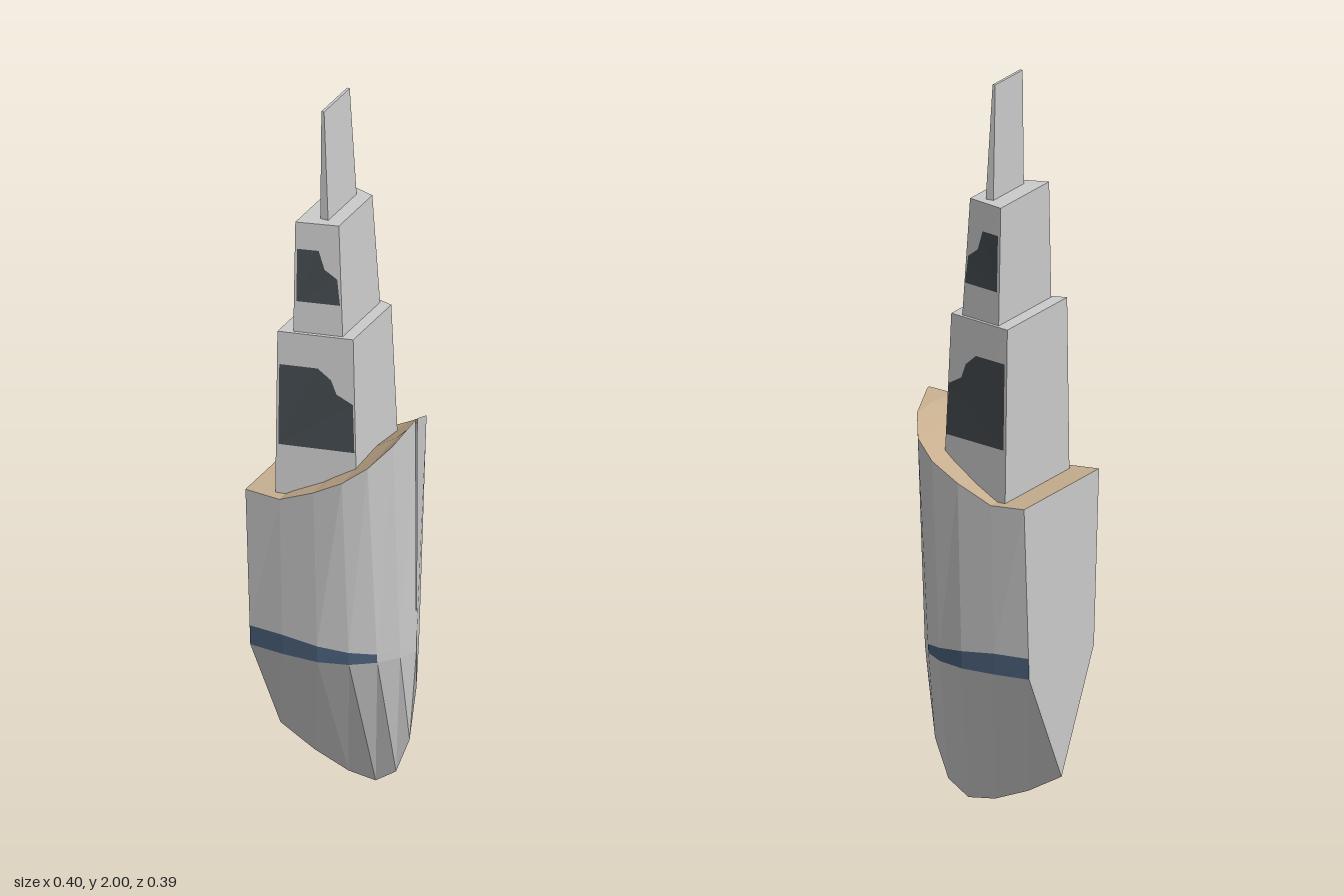
import * as THREE from 'three';

const mat = (color) => new THREE.MeshStandardMaterial({ color, flatShading: true, side: THREE.DoubleSide });

// Flat-shaded skin through a list of cross-section lines of equal length
function loft(lines) {
  const pos = [];
  for (let i = 0; i < lines.length - 1; i++) {
    for (let j = 0; j < lines[i].length - 1; j++) {
      const a = lines[i][j], b = lines[i + 1][j], c = lines[i + 1][j + 1], d = lines[i][j + 1];
      pos.push(...a, ...b, ...c, ...a, ...c, ...d);
    }
  }
  const g = new THREE.BufferGeometry();
  g.setAttribute('position', new THREE.Float32BufferAttribute(pos, 3));
  g.computeVertexNormals();
  return g;
}

const lerp = THREE.MathUtils.lerp;
const flip = (line) => line.map(([x, y, z]) => [x, y, -z]);

export function createModel() {
  const model = new THREE.Group();
  const grey = mat(0xcccccc), wood = mat(0xc5ad8e), navy = mat(0x4b617c), glass = mat(0x434a4e);
  const add = (name, geometry, material) => {
    const m = new THREE.Mesh(geometry, material);
    m.name = name;
    model.add(m);
  };

  // Hull stations, stern to bow: x, keel y, waterline half width, stripe top y, deck y, deck half width
  const water = 0.42;
  const stations = [
    [-0.2, 0.105, 0.17, 0.478, 0.895, 0.197],
    [-0.1, 0.05, 0.177, 0.478, 0.89, 0.197],
    [0, 0.012, 0.175, 0.468, 0.935, 0.197],
    [0.08, 0.003, 0.15, 0.457, 0.98, 0.19],
    [0.14, 0.045, 0.105, 0.445, 1.025, 0.16],
    [0.18, 0.15, 0.053, 0.445, 1.07, 0.095],
    [0.2, 0.31, 0, 0.445, 1.11, 0.005],
  ];
  const ribs = stations.map(([x, keel, w, stripe, deck, d]) => [
    [x, keel, 0],
    [x, water, w],
    [x, stripe, lerp(w, d, (stripe - water) / (deck - water))],
    [x, deck, d],
  ]);

  for (const [side, rows] of [['left', ribs.map(flip).reverse()], ['right', ribs]]) {
    // Stripe runs from the stern to the fifth station only
    const striped = side === 'right' ? rows.slice(0, 5) : rows.slice(2);
    const plain = side === 'right' ? rows.slice(4) : rows.slice(0, 3);
    const part = (list, a, b) => loft(list.map((r) => r.slice(a, b)));
    add(side + 'HullBottom', part(rows, 0, 2), grey);
    add(side + 'WaterlineStripe', part(striped, 1, 3), navy);
    add(side + 'BowPlate', part(plain, 1, 3), grey);
    add(side + 'HullTopside', part(rows, 2, 4), grey);
  }
  add('transom', loft([flip(ribs[0]), ribs[0]]), grey);

  // Deck with a slight crown towards the bow
  const crown = [0, 0, 0.012, 0.018, 0.014, 0.006, 0];
  add('deck', loft(stations.map(([x, , , , y, d], i) => [[x, y, d], [x, y + crown[i], 0], [x, y, -d]])), wood);

  // Tapered tower tiers; each level is y, aft x, fore x, aft half width, fore half width
  const tiers = [
    { name: 'lowerTower', bottom: [0.88, -0.127, 0.087, 0.169, 0.119], top: [1.365, -0.127, 0.07, 0.157, 0.107] },
    { name: 'upperTower', bottom: [1.365, -0.09, 0.038, 0.138, 0.105], top: [1.685, -0.09, 0.021, 0.127, 0.094] },
    { name: 'mast', bottom: [1.685, -0.041, -0.018, 0.08, 0.08], top: [2, -0.042, -0.034, 0.072, 0.072] },
  ];
  for (const { name, bottom, top } of tiers) {
    const g = new THREE.BoxGeometry(1, 1, 1).toNonIndexed();
    const p = g.attributes.position;
    for (let i = 0; i < p.count; i++) {
      const [y, aft, fore, za, zf] = p.getY(i) > 0 ? top : bottom;
      const front = p.getX(i) > 0;
      p.setXYZ(i, front ? fore : aft, y, Math.sign(p.getZ(i)) * (front ? zf : za));
    }
    g.computeVertexNormals();
    add(name, g, grey);
  }

  // Dark window panels laid on both sloping sides of a tier
  const windows = [
    ['lowerWindow', tiers[0], [[-0.12, 1.035], [0.079, 1.035], [0.073, 1.175], [0.03, 1.2], [0.015, 1.24], [-0.02, 1.27], [-0.12, 1.27]]],
    ['upperWindow', tiers[1], [[-0.083, 1.455], [0.03, 1.455], [0.021, 1.53], [-0.012, 1.555], [-0.028, 1.608], [-0.083, 1.608]]],
  ];
  for (const [name, { bottom, top }, outline] of windows) {
    for (const s of [1, -1]) {
      const g = new THREE.ShapeGeometry(new THREE.Shape(outline.map(([x, y]) => new THREE.Vector2(x, y))));
      const p = g.attributes.position;
      for (let i = 0; i < p.count; i++) {
        const x = p.getX(i), y = p.getY(i);
        const [, aft, fore, za, zf] = bottom.map((b, k) => lerp(b, top[k], (y - bottom[0]) / (top[0] - bottom[0])));
        p.setZ(i, s * (lerp(za, zf, (x - aft) / (fore - aft)) + 0.002));
      }
      if (s < 0) g.setIndex([...g.index.array].reverse());
      g.computeVertexNormals();
      add((s > 0 ? 'right' : 'left') + name[0].toUpperCase() + name.slice(1), g, glass);
    }
  }
  return model;
}
